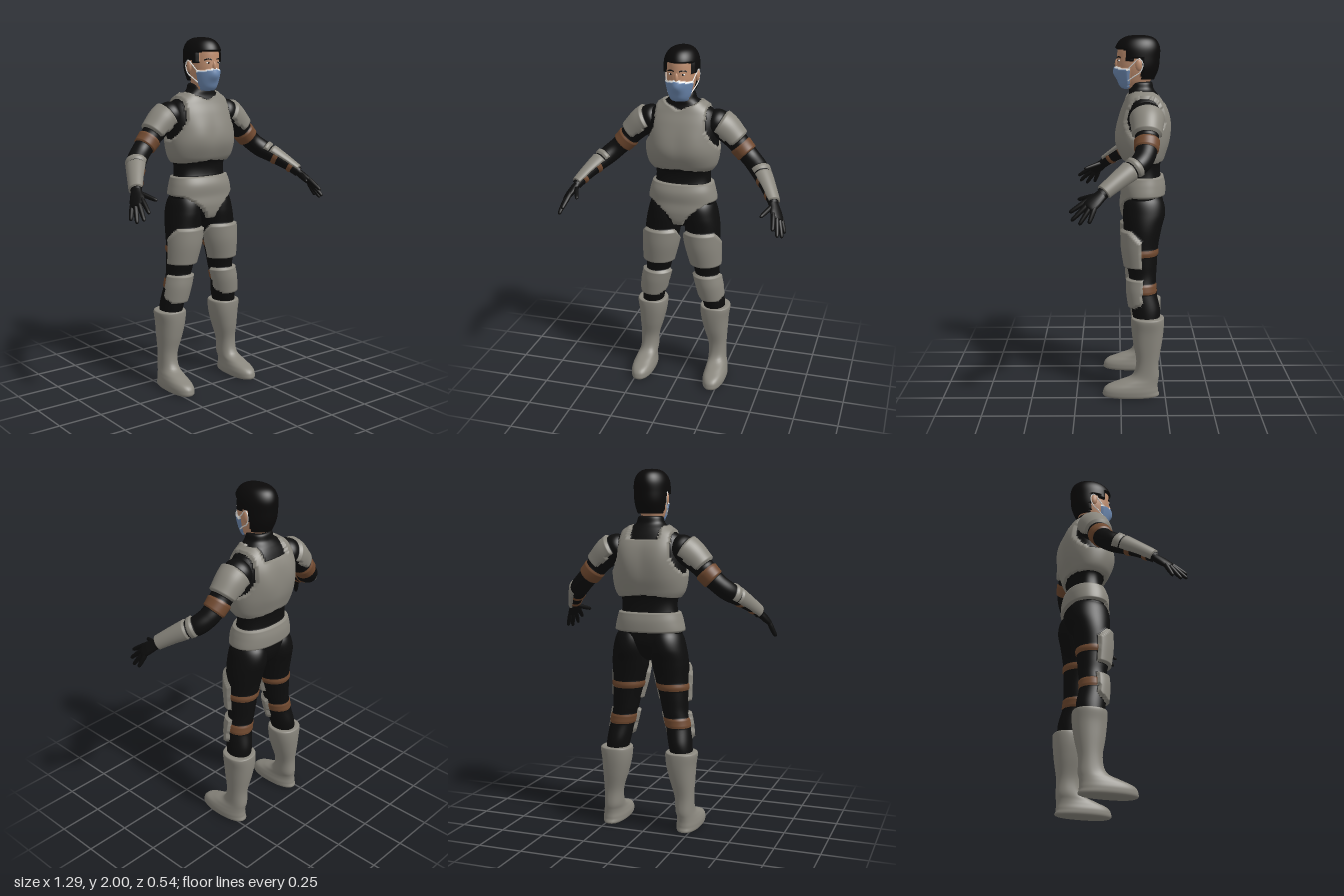
import * as THREE from 'three';

const mat = (name, color, side = THREE.FrontSide) => {
  const m = new THREE.MeshStandardMaterial({ color, side });
  m.name = name;
  return m;
};
const black = mat('black suit', 0x0d0d0d);
const grey = mat('grey armour', 0x8a877e);
const brown = mat('brown strap', 0x70492f);
const skinTone = mat('skin', 0xc08f70);
const blue = mat('blue mask', 0x6f8cb5);
const white = mat('white strap', 0xe4e4e2);
const hair = mat('black hair', 0x0a0909);
const PALETTE = [black, grey, brown, skinTone, blue, white, hair];

const bell = (d, w) => Math.exp(-(d * d) / (w * w));

// Lofts rounded cross-sections [x, y, z, radiusU, radiusV] along a smooth path.
// paint(point, u, angle) gives [material, outward offset] for every vertex.
function loft(name, sections, { seg = 32, rings = 40, ref = [0, 0, 1], upright = false, pow = 1, paint = () => [black, 0] } = {}) {
  const curve = (f) => new THREE.CatmullRomCurve3(sections.map(f), false, 'catmullrom', 0.5);
  const path = curve((s) => new THREE.Vector3(s[0], s[1], s[2]));
  const size = curve((s) => new THREE.Vector3(s[3], s[4], 0));
  const refV = new THREE.Vector3(...ref);
  const pos = [], info = [], idx = [];
  const round = (v) => Math.sign(v) * Math.abs(v) ** pow;
  for (let i = 0; i <= rings; i++) {
    const t = i / rings, c = path.getPoint(t), r = size.getPoint(t);
    const T = upright ? new THREE.Vector3(0, 1, 0) : path.getTangent(t);
    const V = refV.clone().addScaledVector(T, -refV.dot(T)).normalize();
    const U = new THREE.Vector3().crossVectors(T, V);
    for (let j = 0; j < seg; j++) {
      const a = (j / seg) * Math.PI * 2;
      const p = c.clone()
        .addScaledVector(U, round(Math.cos(a)) * Math.max(r.x, 0.0005))
        .addScaledVector(V, round(Math.sin(a)) * Math.max(r.y, 0.0005));
      pos.push(p.x, p.y, p.z);
      info.push(paint(p, t * (sections.length - 1), a));
    }
  }
  const byMat = new Map();
  for (let i = 0; i < rings; i++) for (let j = 0; j < seg; j++) {
    const k = (j + 1) % seg;
    const a = i * seg + j, b = i * seg + k, c = a + seg, d = b + seg;
    const m = [a, b, c, d].map((v) => info[v]).reduce((x, y) => (y[1] > x[1] ? y : x))[0];
    if (!byMat.has(m)) byMat.set(m, []);
    byMat.get(m).push(a, c, b, b, c, d);
  }
  const g = new THREE.BufferGeometry();
  for (const [m, list] of byMat) {
    g.addGroup(idx.length, list.length, PALETTE.indexOf(m));
    for (const v of list) idx.push(v);
  }
  g.setAttribute('position', new THREE.Float32BufferAttribute(pos, 3));
  g.setIndex(idx);
  g.computeVertexNormals();
  const P = g.attributes.position, N = g.attributes.normal;
  info.forEach(([, o], v) => P.setXYZ(v, P.getX(v) + N.getX(v) * o, P.getY(v) + N.getY(v) * o, P.getZ(v) + N.getZ(v) * o));
  g.computeVertexNormals();
  return named(name, new THREE.Mesh(g, PALETTE));
}

function named(name, o) { o.name = name; return o; }

// Mirrored copy across x = 0 with the winding turned round
function mirrored(mesh) {
  const m = mesh.clone();
  m.updateMatrix();
  const g = mesh.geometry.clone().applyMatrix4(m.matrix).scale(-1, 1, 1), ix = g.index.array;
  for (let i = 0; i < ix.length; i += 3) [ix[i], ix[i + 1]] = [ix[i + 1], ix[i]];
  return named(mesh.name.replace('left', 'right'), new THREE.Mesh(g, mesh.material));
}

function ball(name, material, p, s) {
  const m = named(name, new THREE.Mesh(new THREE.SphereGeometry(1, 20, 14), material));
  m.position.set(...p);
  m.scale.set(...s);
  return m;
}

function tube(name, material, pts, r) {
  const c = new THREE.CatmullRomCurve3(pts.map((p) => new THREE.Vector3(...p)));
  return named(name, new THREE.Mesh(new THREE.TubeGeometry(c, 14, r, 6), material));
}

// Torso: chest armour with armholes, belt with a tapering front guard
function paintTorso(p) {
  const x = Math.abs(p.x), { y, z } = p;
  const front = z > -0.12;
  const armhole = x > 0.14 && ((y - 1.57) / 0.135) ** 2 + ((z + 0.13) / 0.1) ** 2 < 1;
  const neck = front ? 1.65 + 0.045 * Math.min(1, x / 0.1) : x < 0.085 ? 1.625 : 1.69;
  if (y > 1.31 + 0.02 * (1 - x / 0.2) && y < neck && !armhole) {
    const blade = front ? 0 : 0.014 * bell(x - 0.09, 0.06) * bell(y - 1.52, 0.1);
    const pec = front ? 0.008 * bell(x - 0.08, 0.06) * bell(y - 1.47, 0.08) : 0;
    return [grey, 0.012 + blade + pec];
  }
  const guard = front && z > -0.1 && y > 1.0 && x < 0.03 + 0.14 * Math.max(0, (y - 1.0) / 0.13) ** 1.7;
  if (y < 1.225 && (y > 1.125 || guard)) return [grey, 0.016];
  return [black, 0];
}

// Legs: thigh and shin plates in front, straps behind
function paintLeg({ y, z }) {
  if (z > -0.11 && y > 0.735 && y < 0.94 - Math.max(0, -z - 0.05) * 0.9) return [grey, 0.018];
  if (z > -0.115 && y > 0.51 + Math.max(0, -z - 0.07) * 0.7 && y < 0.67) return [grey, 0.018];
  if (z <= -0.1 && ((y > 0.805 && y < 0.83) || (y > 0.59 && y < 0.64))) return [brown, 0.005];
  return [black, 0];
}

// Arms: shoulder pad, upper band, forearm guard with straps
function paintArm(p, u, a) {
  const up = -Math.cos(a);
  if (u > 1.55 && u < 3.25 && up > -0.45 + 0.25 * Math.abs(u - 2.4)) return [grey, 0.015];
  if (u > 3.6 && u < 4.4) return [brown, 0.007];
  if (u > 6.3 && u < 9.4 && up > -0.2 && !(u > 6.65 && u < 6.85)) return [grey, 0.009];
  if ((u > 7.2 && u < 7.5) || (u > 8.5 && u < 8.8)) return [brown, 0.004];
  return [black, 0];
}

// Head: short hair, face and face mask
function paintHead(p) {
  const x = Math.abs(p.x), { y, z } = p;
  const line = z > -0.035 ? 1.925 - 0.15 * Math.max(0, x - 0.05) : z > -0.065 ? 1.865 : z > -0.115 ? 1.88 : 1.765;
  if (y > line) return [hair, 0.015];
  if (z > -0.045 && y > 1.718 && y < 1.832 - 0.2 * x)
    return [y > 1.825 - 0.2 * x ? white : blue, 0.01 + 0.014 * bell(x, 0.025) * bell(y - 1.8, 0.03)];
  return [skinTone, 0];
}

export function createModel() {
  const model = named('armouredFigure', new THREE.Group());
  const pair = (mesh) => model.add(mesh, mirrored(mesh));

  model.add(loft('torso', [
    [0, 0.96, -0.12, 0.02, 0.04], [0, 1.0, -0.115, 0.1, 0.09], [0, 1.06, -0.12, 0.17, 0.11],
    [0, 1.12, -0.125, 0.183, 0.11], [0, 1.18, -0.125, 0.173, 0.11], [0, 1.24, -0.13, 0.158, 0.093],
    [0, 1.3, -0.13, 0.16, 0.093], [0, 1.35, -0.122, 0.188, 0.116], [0, 1.42, -0.12, 0.2, 0.136],
    [0, 1.5, -0.125, 0.198, 0.134], [0, 1.58, -0.13, 0.196, 0.12], [0, 1.64, -0.13, 0.175, 0.097],
    [0, 1.68, -0.125, 0.12, 0.08], [0, 1.71, -0.115, 0.08, 0.068], [0, 1.745, -0.115, 0.066, 0.058],
    [0, 1.75, -0.115, 0.03, 0.03],
  ], { seg: 96, rings: 130, upright: true, pow: 0.88, paint: paintTorso }));

  pair(loft('leftLeg', [
    [0.195, 0.42, -0.145, 0.06, 0.07], [0.183, 0.5, -0.14, 0.066, 0.079], [0.165, 0.6, -0.122, 0.07, 0.075],
    [0.148, 0.68, -0.122, 0.072, 0.076], [0.14, 0.75, -0.117, 0.08, 0.085], [0.127, 0.85, -0.113, 0.094, 0.096],
    [0.117, 0.95, -0.122, 0.103, 0.106], [0.108, 1.03, -0.13, 0.1, 0.117], [0.1, 1.1, -0.13, 0.088, 0.105],
    [0.1, 1.15, -0.13, 0.05, 0.06],
  ], { seg: 64, rings: 100, upright: true, paint: paintLeg }));

  pair(loft('leftBoot', [
    [0.222, 0, -0.06, 0.001, 0.001], [0.222, 0, -0.06, 0.056, 0.145], [0.222, 0.03, -0.055, 0.066, 0.155],
    [0.222, 0.06, -0.065, 0.062, 0.143], [0.22, 0.085, -0.098, 0.056, 0.112], [0.215, 0.12, -0.14, 0.052, 0.075],
    [0.212, 0.2, -0.15, 0.053, 0.063], [0.2, 0.3, -0.15, 0.07, 0.08], [0.193, 0.38, -0.15, 0.082, 0.09],
    [0.194, 0.44, -0.15, 0.089, 0.092], [0.194, 0.455, -0.15, 0.08, 0.085], [0.19, 0.455, -0.15, 0.05, 0.05],
  ], { seg: 40, rings: 55, upright: true, pow: 0.88, paint: () => [grey, 0] }));

  pair(loft('leftArm', [
    [0.13, 1.6, -0.135, 0.03, 0.03], [0.17, 1.585, -0.138, 0.073, 0.078], [0.23, 1.55, -0.14, 0.074, 0.076],
    [0.29, 1.495, -0.138, 0.063, 0.066], [0.345, 1.435, -0.135, 0.056, 0.06], [0.39, 1.39, -0.125, 0.053, 0.056],
    [0.435, 1.35, -0.095, 0.053, 0.055], [0.475, 1.315, -0.04, 0.046, 0.048], [0.515, 1.275, 0.02, 0.037, 0.04],
    [0.55, 1.235, 0.075, 0.03, 0.034], [0.565, 1.215, 0.1, 0.027, 0.032],
  ], { seg: 48, rings: 110, paint: paintArm }));

  // Gloves: palm and five tapering fingers
  pair(loft('leftPalm', [
    [0.555, 1.228, 0.085, 0.02, 0.028], [0.572, 1.203, 0.112, 0.021, 0.036],
    [0.588, 1.178, 0.145, 0.019, 0.044], [0.6, 1.16, 0.17, 0.013, 0.038], [0.603, 1.156, 0.176, 0.001, 0.002],
  ], { seg: 20, rings: 16, ref: [0.6, -0.45, -0.66] }));
  const fingers = {
    Thumb: [[0.558, 1.212, 0.12], [0.515, 1.182, 0.222]],
    IndexFinger: [[0.575, 1.185, 0.175], [0.59, 1.128, 0.262]],
    MiddleFinger: [[0.593, 1.168, 0.17], [0.614, 1.09, 0.252]],
    RingFinger: [[0.605, 1.157, 0.155], [0.633, 1.073, 0.212]],
    LittleFinger: [[0.613, 1.152, 0.135], [0.64, 1.08, 0.162]],
  };
  for (const [n, [a, b]] of Object.entries(fingers)) {
    const at = (t, r) => [...a.map((v, i) => v + (b[i] - v) * t), r, r];
    pair(loft('left' + n, [at(-0.1, 0.012), at(0.2, 0.0135), at(0.6, 0.012), at(0.92, 0.009), at(1, 0.001)],
      { seg: 12, rings: 12, ref: [0.6, -0.45, -0.66] }));
  }

  model.add(loft('head', [
    [0, 1.66, -0.115, 0.052, 0.05], [0, 1.705, -0.105, 0.054, 0.056], [0, 1.725, -0.08, 0.052, 0.072],
    [0, 1.76, -0.08, 0.065, 0.088], [0, 1.82, -0.087, 0.079, 0.107], [0, 1.88, -0.091, 0.082, 0.11],
    [0, 1.93, -0.094, 0.079, 0.108], [0, 1.965, -0.097, 0.062, 0.088], [0, 1.982, -0.098, 0.035, 0.052],
    [0, 1.986, -0.098, 0.001, 0.001],
  ], { seg: 72, rings: 100, upright: true, paint: paintHead }));

  model.add(ball('noseBridge', skinTone, [0, 1.845, 0.018], [0.011, 0.028, 0.014]));
  pair(ball('leftEar', skinTone, [0.086, 1.842, -0.098], [0.012, 0.032, 0.019]));
  pair(ball('leftEye', white, [0.033, 1.864, 0.008], [0.013, 0.0055, 0.006]));
  pair(ball('leftIris', hair, [0.033, 1.864, 0.011], [0.0055, 0.0055, 0.005]));
  pair(tube('leftEyebrow', hair, [[0.014, 1.88, 0.018], [0.034, 1.885, 0.011], [0.052, 1.879, -0.003]], 0.0035));
  // Mask loops passing round the ears
  pair(tube('leftMaskLoop', white, [
    [0.073, 1.815, -0.035], [0.084, 1.855, -0.075], [0.09, 1.877, -0.1], [0.092, 1.85, -0.121],
    [0.088, 1.805, -0.108], [0.078, 1.778, -0.07], [0.066, 1.755, -0.04],
  ], 0.0035));
  return model;
}
